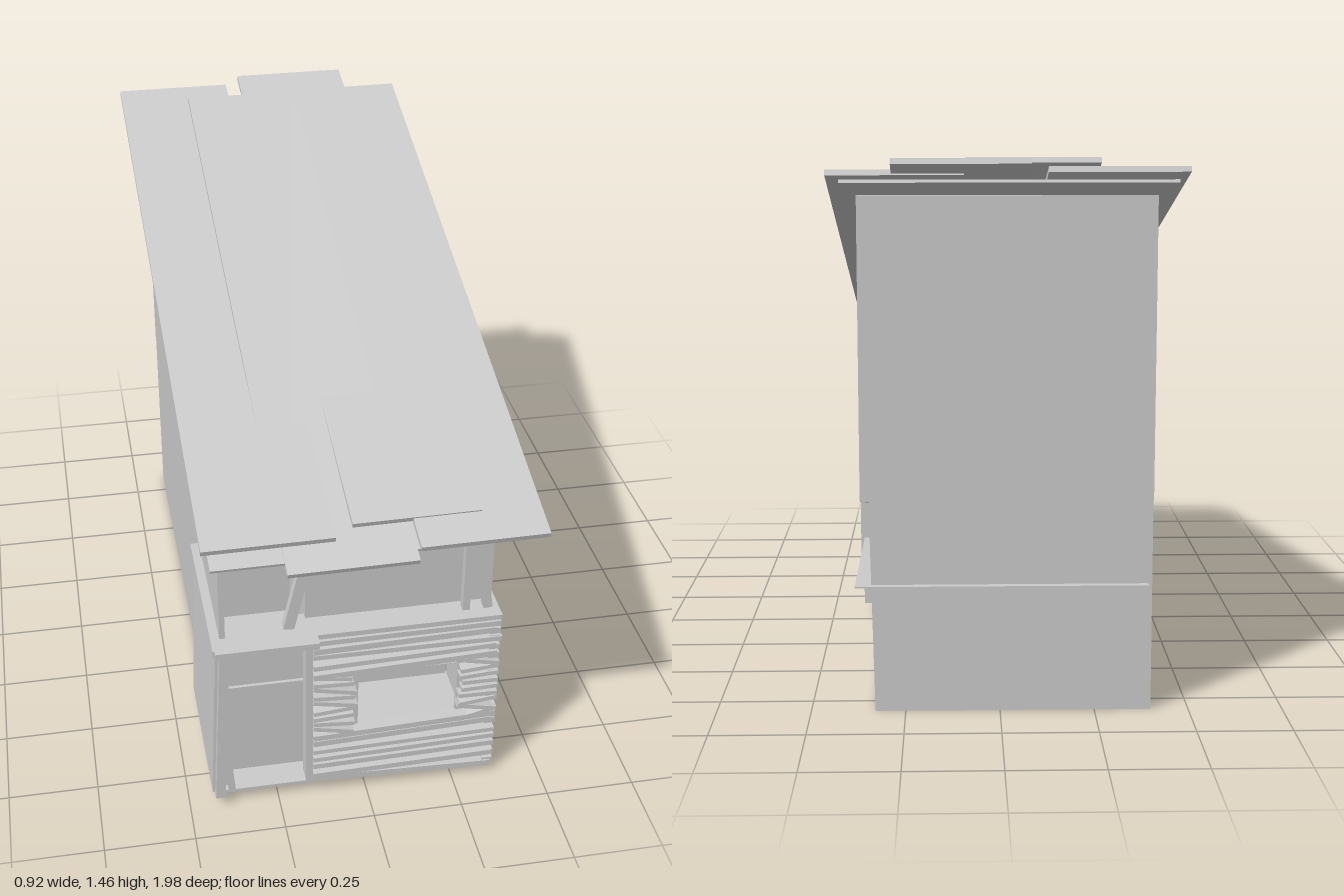
import * as THREE from 'three';

export function createModel() {
  const model = new THREE.Group();
  const mat = new THREE.MeshStandardMaterial({ color: 0xcccccc, flatShading: true, side: THREE.DoubleSide });
  let seed = 7;
  const rnd = () => ((seed = (seed * 16807) % 2147483647) / 2147483647) - 0.5;

  function add(name, geo) {
    const m = new THREE.Mesh(geo, mat);
    m.name = name;
    model.add(m);
    return m;
  }
  // Box given by its limits on each axis
  function block(name, x0, x1, y0, y1, z0, z1) {
    const m = add(name, new THREE.BoxGeometry(x1 - x0, y1 - y0, z1 - z0));
    m.position.set((x0 + x1) / 2, (y0 + y1) / 2, (z0 + z1) / 2);
    return m;
  }
  // Board running from point a to point b
  function board(name, a, b, width, thick) {
    const p = new THREE.Vector3(...a), q = new THREE.Vector3(...b);
    const m = add(name, new THREE.BoxGeometry(width, thick, p.distanceTo(q)));
    m.position.copy(p).add(q).multiplyScalar(0.5);
    m.lookAt(q);
    return m;
  }
  // Prism with a side outline of [z, y] points, extruded along x
  function sideShape(name, pts, x0, x1) {
    const shape = new THREE.Shape(pts.map(([z, y]) => new THREE.Vector2(-z, y)));
    const geo = new THREE.ExtrudeGeometry(shape, { depth: x1 - x0, bevelEnabled: false });
    geo.rotateY(Math.PI / 2).translate(x0, 0, 0);
    return add(name, geo);
  }

  // Main shed, its right wall leaning out slightly towards the top
  const shed = sideShape('shedBody', [[0.48, 0], [-0.83, 0], [-0.83, 1.36], [0.48, 0.99]], -0.4, 0.36);
  const pos = shed.geometry.attributes.position;
  for (let i = 0; i < pos.count; i++) {
    if (pos.getX(i) > 0 && pos.getY(i) < 0.1) pos.setX(i, 0.33);
  }
  shed.geometry.computeVertexNormals();
  sideShape('upperSideWall', [[0.48, 0.25], [-0.83, 0.57], [-0.83, 1.36], [0.48, 0.99]], 0.34, 0.365);
  block('backPanel', -0.4, 0.36, 0.57, 1.36, -0.842, -0.826);
  block('floorSheet', -0.39, 0.38, 0.342, 0.345, -0.85, 0.8);

  // Patches on the right wall
  block('largeSidePatch', 0.36, 0.4, 0.05, 0.945, 0, 0.48);
  block('smallSidePatch', 0.355, 0.39, 0.22, 0.7, -0.33, 0.02);

  // Roof: a base sheet with overlapping boards
  board('roofBase', [-0.02, 1.4, -0.95], [-0.01, 0.855, 0.95], 0.84, 0.008);
  board('roofBoard', [-0.29, 1.43, -0.965], [-0.273, 0.885, 0.91], 0.35, 0.015);
  board('roofBoard', [-0.085, 1.448, -0.815], [-0.065, 0.842, 0.985], 0.345, 0.014);
  board('roofBoard', [0.1, 1.45, -0.99], [0.125, 0.897, 0.87], 0.345, 0.014);
  board('roofBoard', [0.265, 1.42, -0.905], [0.287, 0.865, 0.96], 0.345, 0.015);

  // Left porch: wall, recessed front, leaning side panel, rails
  sideShape('porchWall', [[0.85, 0.03], [0.46, 0], [0.46, 1], [0.85, 0.89]], -0.4, -0.385);
  block('porchFront', -0.39, -0.15, 0.03, 0.55, 0.775, 0.79);
  const leaning = block('leaningPanel', -0.424, -0.409, 0.03, 0.55, 0.4, 0.86);
  leaning.rotation.z = -0.04;
  board('porchPost', [-0.415, 0.03, 0.875], [-0.392, 0.55, 0.875], 0.026, 0.026);
  board('porchBrace', [-0.38, 0.04, 0.86], [-0.4, 0.27, 0.86], 0.02, 0.02);
  block('porchPost', -0.17, -0.15, 0.03, 0.55, 0.82, 0.87);
  block('porchSill', -0.4, -0.15, 0.03, 0.04, 0.79, 0.87);
  block('porchRail', -0.42, -0.14, 0.54, 0.56, 0.78, 0.915);
  block('sideRail', -0.425, -0.39, 0.54, 0.56, 0.4, 0.9);

  // Booth shell around the window
  block('boothFloor', -0.05, 0.37, 0.03, 0.04, 0.47, 0.87);
  block('boothLeftWall', -0.15, -0.14, 0.03, 0.55, 0.48, 0.85);
  block('boothRightWall', 0.335, 0.35, 0.03, 0.55, 0.48, 0.85);
  block('boothFrontBottom', -0.15, 0.35, 0.03, 0.2, 0.835, 0.85);
  block('boothFrontTop', -0.15, 0.35, 0.41, 0.55, 0.835, 0.85);
  block('boothFrontLeft', -0.15, -0.02, 0.2, 0.41, 0.835, 0.85);
  block('boothFrontRight', 0.26, 0.35, 0.2, 0.41, 0.835, 0.85);
  block('counterTop', -0.15, 0.37, 0.545, 0.56, 0.48, 0.88);

  // Long slats below and above the window, with matching ones on the side
  for (const y of [0.04, 0.065, 0.1, 0.125, 0.15, 0.185, 0.205, 0.42, 0.45, 0.48, 0.505, 0.53]) {
    const tilt = rnd() * 0.02, h = 0.016 + 0.006 * rnd();
    board('frontSlat', [-0.15, y - tilt, 0.862], [0.365 + 0.02 * rnd(), y + tilt, 0.862], 0.035, h);
    board('sideSlat', [0.355, y + tilt, 0.48], [0.355, y + rnd() * 0.01, 0.875], 0.03, h);
  }
  // Short ragged slats on both sides of the window
  for (let i = 0; i < 9; i++) {
    const y = 0.22 + i * 0.023;
    const a = rnd() * 0.03, b = rnd() * 0.03;
    board('windowSlat', [-0.15, y + a, 0.862], [-0.035 + 0.02 * rnd(), y - a, 0.862], 0.036, 0.013);
    board('windowSlat', [0.265 + 0.02 * rnd(), y + b, 0.862], [0.37, y - b, 0.862], 0.036, 0.013);
    board('sideSlat', [0.355, y + b / 3, 0.48], [0.355, y - b, 0.875], 0.03, 0.013);
  }

  // Upper booth with crooked supports below the roof
  block('upperBooth', -0.16, 0.36, 0.55, 0.83, 0.47, 0.8);
  block('upperBeam', -0.16, 0.36, 0.825, 0.84, 0.79, 0.84);
  board('roofSupport', [-0.212, 0.56, 0.83], [-0.145, 0.85, 0.83], 0.025, 0.03);
  board('roofSupport', [0.278, 0.56, 0.83], [0.28, 0.86, 0.83], 0.025, 0.02);
  board('roofSupport', [0.34, 0.56, 0.83], [0.295, 0.86, 0.83], 0.025, 0.025);
  return model;
}
